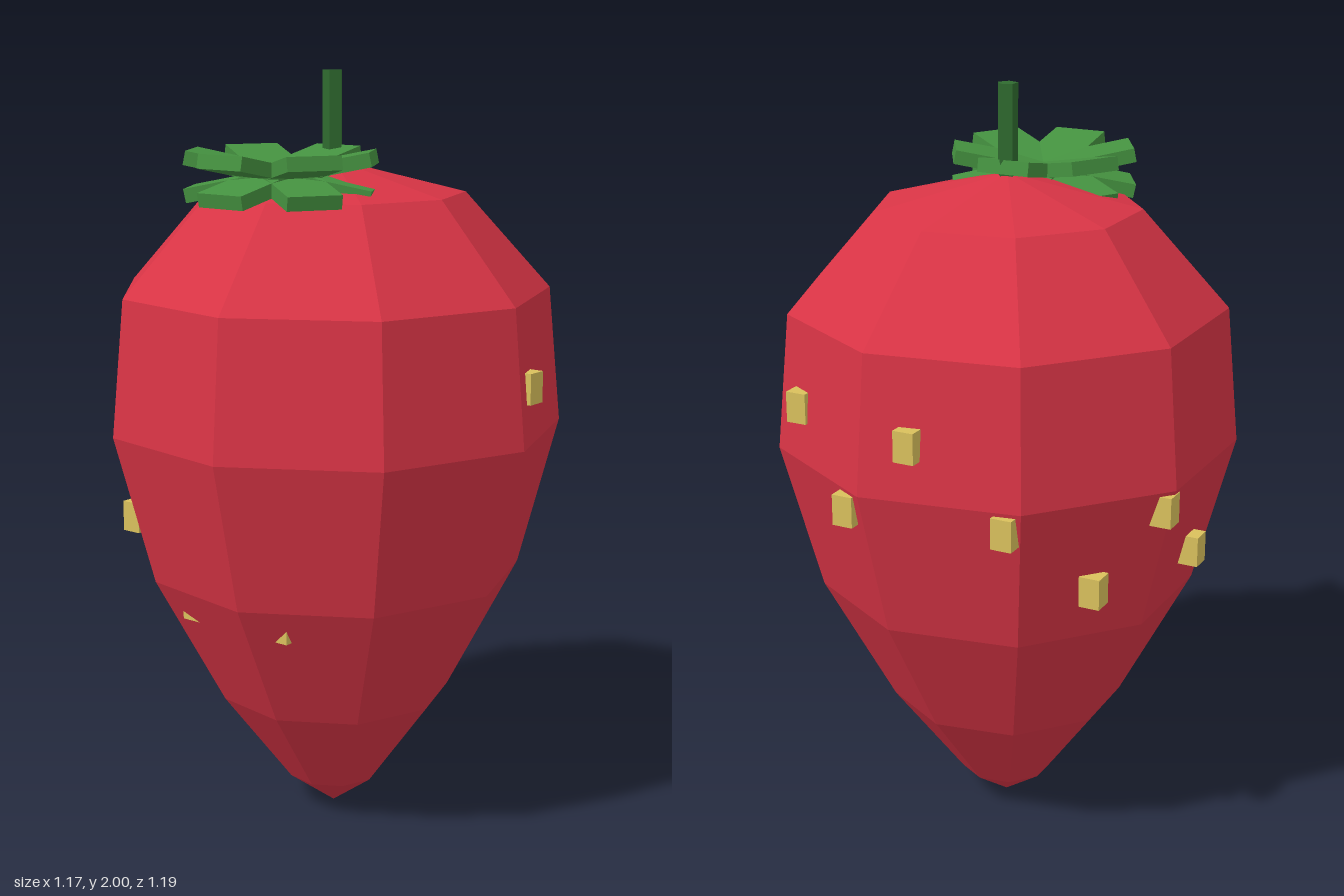
import * as THREE from 'three';

const flat = (name, color) => {
  const m = new THREE.MeshStandardMaterial({ color, flatShading: true });
  m.name = name;
  return m;
};

export function createModel() {
  const red = flat('berry red', 0xd83445);
  const green = flat('leaf green', 0x459240);
  const darkGreen = flat('stem green', 0x2f6b2f);
  const yellow = flat('seed yellow', 0xd9c05c);

  const model = new THREE.Group();
  model.name = 'strawberry';
  const add = (parent, name, geometry, material, x, y, z) => {
    const mesh = new THREE.Mesh(geometry, material);
    mesh.name = name;
    mesh.position.set(x, y, z);
    parent.add(mesh);
    return mesh;
  };
  const axisX = -0.018; // the nine-sided body has its axis slightly off centre

  // Faceted fruit, one corner pointing to +x
  const profile = [
    [0, 0], [0.125, 0.09], [0.313, 0.34], [0.5, 0.69],
    [0.604, 1.085], [0.57, 1.44], [0.345, 1.69], [0, 1.775],
  ].map(([r, y]) => new THREE.Vector2(r, y));
  const fruit = new THREE.LatheGeometry(profile, 9).rotateY(Math.PI / 2);
  add(model, 'fruit', fruit, red, axisX, 0, 0);

  // Five-sided stem
  const stem = new THREE.CylinderGeometry(0.027, 0.027, 0.3, 5).rotateY(Math.PI / 2);
  add(model, 'stem', stem, darkGreen, axisX, 1.85, 0);

  // Leaf crown: six tilted slats crossing at one point
  const leaves = new THREE.Group();
  leaves.name = 'leafCrown';
  leaves.position.set(axisX, 1.745, 0.207);
  model.add(leaves);
  const leafGeometry = new THREE.BoxGeometry(0.142, 0.036, 0.476);
  for (let i = 0; i < 6; i++) {
    const leaf = add(leaves, 'leaf', leafGeometry, green, 0, 0, 0);
    leaf.rotation.set(0.2, i * Math.PI / 3, 0, 'YXZ');
  }

  // Seeds: four rows of three winding down around the fruit
  const seeds = new THREE.Group();
  seeds.name = 'seeds';
  model.add(seeds);
  const seedGeometry = new THREE.BoxGeometry(0.055, 0.08, 0.055);
  const rows = [[1.23, 0.563], [1.035, 0.58], [0.838, 0.523], [0.64, 0.41]];
  rows.forEach(([y, r], row) => {
    for (let i = 0; i < 3; i++) {
      const a = THREE.MathUtils.degToRad(8.3 + row * 66.3 + i * 42);
      add(seeds, 'seed', seedGeometry, yellow, axisX + r * Math.cos(a), y, -r * Math.sin(a));
    }
  });

  return model;
}
